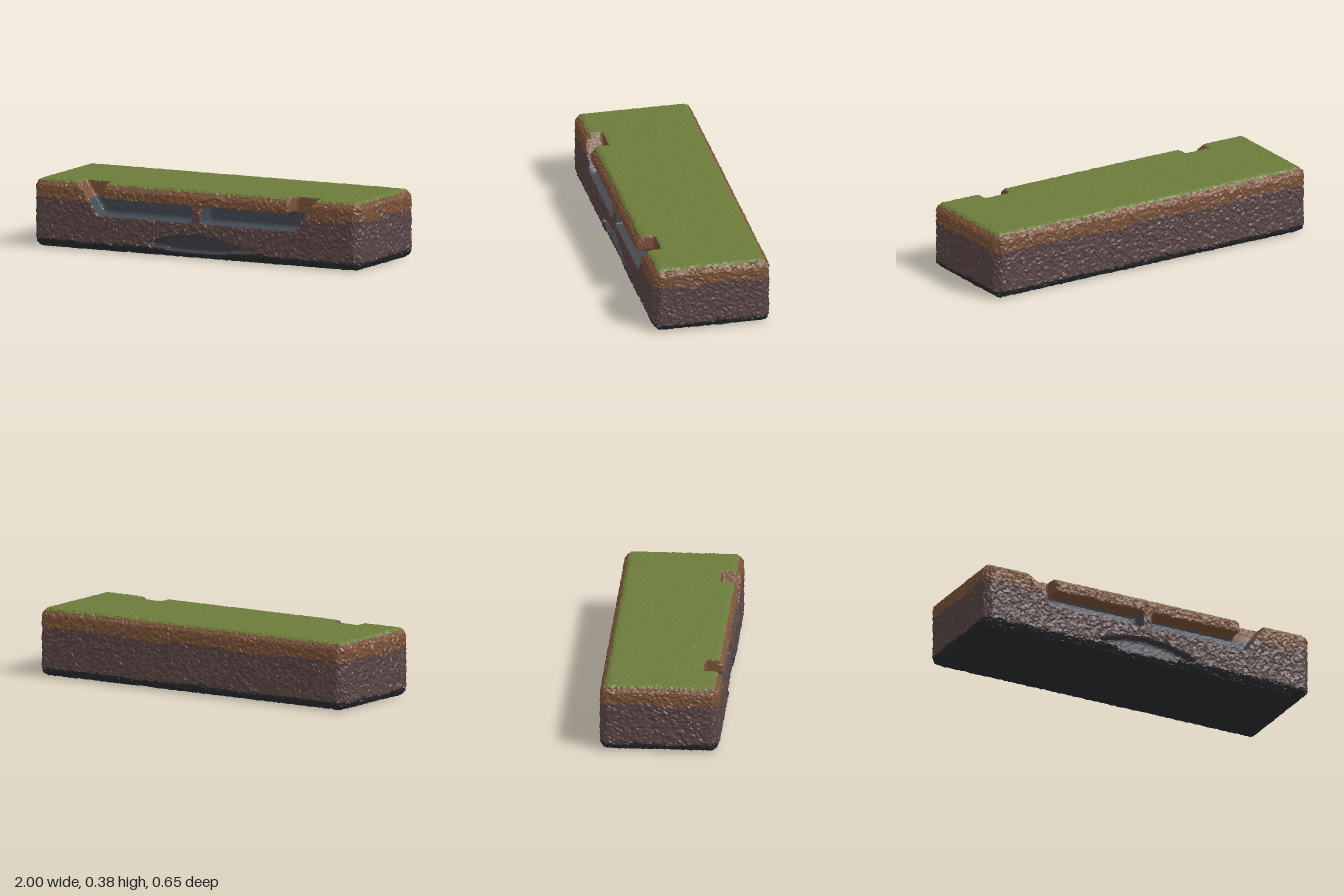
import * as THREE from 'three';

const CELL = 0.0125;
const COUNT = [166, 36, 58]; // grid points along x, y, z
const ORIGIN = [-1.031, -0.031, -0.356];
const HALF = [0.996, 0.186, 0.322];
const MID_Y = 0.19;
const CHAMFER = 0.036;

// Chamfered block of ground
function block(x, y, z) {
  const a = Math.abs(x) - HALF[0];
  const b = Math.abs(y - MID_Y) - HALF[1];
  const c = Math.abs(z) - HALF[2];
  const edge = Math.max(a + b, b + c, a + c) + CHAMFER;
  return Math.max(a, b, c, edge * Math.SQRT1_2);
}

// Two mirrored burrows: a sloping entrance shaft leading to a level tunnel
function burrow(x, y, z) {
  const a = Math.abs(x);
  const ramp = (a - 0.6 - (y - 0.195) * 0.69) * 0.82;
  const roof = Math.min(0.565 - a, y - 0.29);
  return Math.max(roof, ramp, 0.03 - a, 0.195 - y, 0.222 - z);
}

// Low arched hollow near the bottom of the front
function hollow(x, y, z) {
  const t = x / 0.31;
  const ceiling = y - (0.132 - 0.07 * t * t);
  const floor = 0.035 + 0.025 * t * t - y;
  return Math.max(ceiling, floor, Math.abs(x) - 0.31, 0.265 - z);
}

function ground(x, y, z) {
  return Math.max(block(x, y, z), -burrow(x, y, z), -hollow(x, y, z));
}

// Repeatable value from -1 to 1
function hash(n) {
  const s = Math.sin(n * 12.9898) * 43758.5453;
  return (s - Math.floor(s)) * 2 - 1;
}

// Choose the earth layer that a face belongs to
function layerAt(x, y, z, seed) {
  if (block(x, y, z) < -0.007) {
    if (hollow(x, y, z) < 0.006) return 'hollowWall';
    if (burrow(x, y, z) < 0.006) return y > 0.283 ? 'topsoil' : 'tunnelWall';
  }
  const wave = 0.005 * Math.sin(x * 9 + z * 13) + 0.003 * hash(seed);
  if (y > 0.364) return 'grass';
  if (y > 0.271 + wave) return 'topsoil';
  return y > 0.05 + wave ? 'subsoil' : 'bedrock';
}

// Mesh the ground on a regular grid and sort its faces by layer
function buildLayers() {
  const [nx, ny, nz] = COUNT;
  const step = [1, nx, nx * ny];
  const id = (i, j, k) => i + j * step[1] + k * step[2];
  const at = (p) => p.map((n, d) => ORIGIN[d] + n * CELL);
  const field = new Float32Array(nx * ny * nz);
  for (let k = 0; k < nz; k++) for (let j = 0; j < ny; j++) for (let i = 0; i < nx; i++) {
    field[id(i, j, k)] = ground(...at([i, j, k]));
  }

  // One vertex in each cell the surface crosses, roughened a little
  const vertices = new Map();
  for (let k = 0; k < nz - 1; k++) for (let j = 0; j < ny - 1; j++) for (let i = 0; i < nx - 1; i++) {
    const base = id(i, j, k);
    const sum = [0, 0, 0];
    let hits = 0;
    for (let corner = 0; corner < 8; corner++) for (let d = 0; d < 3; d++) {
      if (corner >> d & 1) continue;
      const o = [corner & 1, corner >> 1 & 1, corner >> 2 & 1];
      const n = base + id(...o);
      const f0 = field[n], f1 = field[n + step[d]];
      if (f0 < 0 === f1 < 0) continue;
      o[d] += f0 / (f0 - f1);
      o.forEach((value, axis) => { sum[axis] += value; });
      hits++;
    }
    if (!hits) continue;
    const p = at([i + sum[0] / hits, j + sum[1] / hits, k + sum[2] / hits]);
    const inside = block(...p) < -0.008;
    const rough = inside ? 0.001 : 0.004;
    const lift = inside || p[1] > 0.365 ? 0.0015 : 0.003;
    p[0] += rough * hash(base + 0.1);
    p[1] += lift * hash(base + 0.4);
    p[2] += rough * hash(base + 0.7);
    vertices.set(base, p);
  }

  // One quad around each grid edge the surface crosses
  const layers = {};
  for (let k = 1; k < nz - 1; k++) for (let j = 1; j < ny - 1; j++) for (let i = 1; i < nx - 1; i++) {
    const n = id(i, j, k);
    for (let d = 0; d < 3; d++) {
      const solid = field[n] < 0;
      if (solid === field[n + step[d]] < 0) continue;
      const u = step[(d + 1) % 3], v = step[(d + 2) % 3];
      const quad = [n, n - u, n - u - v, n - v].map((cell) => vertices.get(cell));
      if (!solid) quad.reverse();
      const center = [0, 1, 2].map((axis) => quad.reduce((s, p) => s + p[axis], 0) / 4);
      const list = (layers[layerAt(...center, n)] ??= []);
      const corners = hash(n + 0.3) > 0 ? [0, 1, 2, 0, 2, 3] : [0, 1, 3, 1, 2, 3];
      corners.forEach((c) => list.push(...quad[c]));
    }
  }
  return layers;
}

export function createModel() {
  const colors = {
    grass: 0x6c7b3b,
    topsoil: 0x7a5239,
    subsoil: 0x5a4645,
    bedrock: 0x2b2c30,
    tunnelWall: 0x434952,
    hollowWall: 0x3d3d45,
  };
  const group = new THREE.Group();
  group.name = 'groundBlock';
  for (const [name, positions] of Object.entries(buildLayers())) {
    const geometry = new THREE.BufferGeometry();
    geometry.setAttribute('position', new THREE.Float32BufferAttribute(positions, 3));
    geometry.computeVertexNormals(); // unshared corners give faceted shading
    const material = new THREE.MeshStandardMaterial({ color: colors[name] });
    material.name = name;
    const mesh = new THREE.Mesh(geometry, material);
    mesh.name = name;
    group.add(mesh);
  }
  return group;
}
